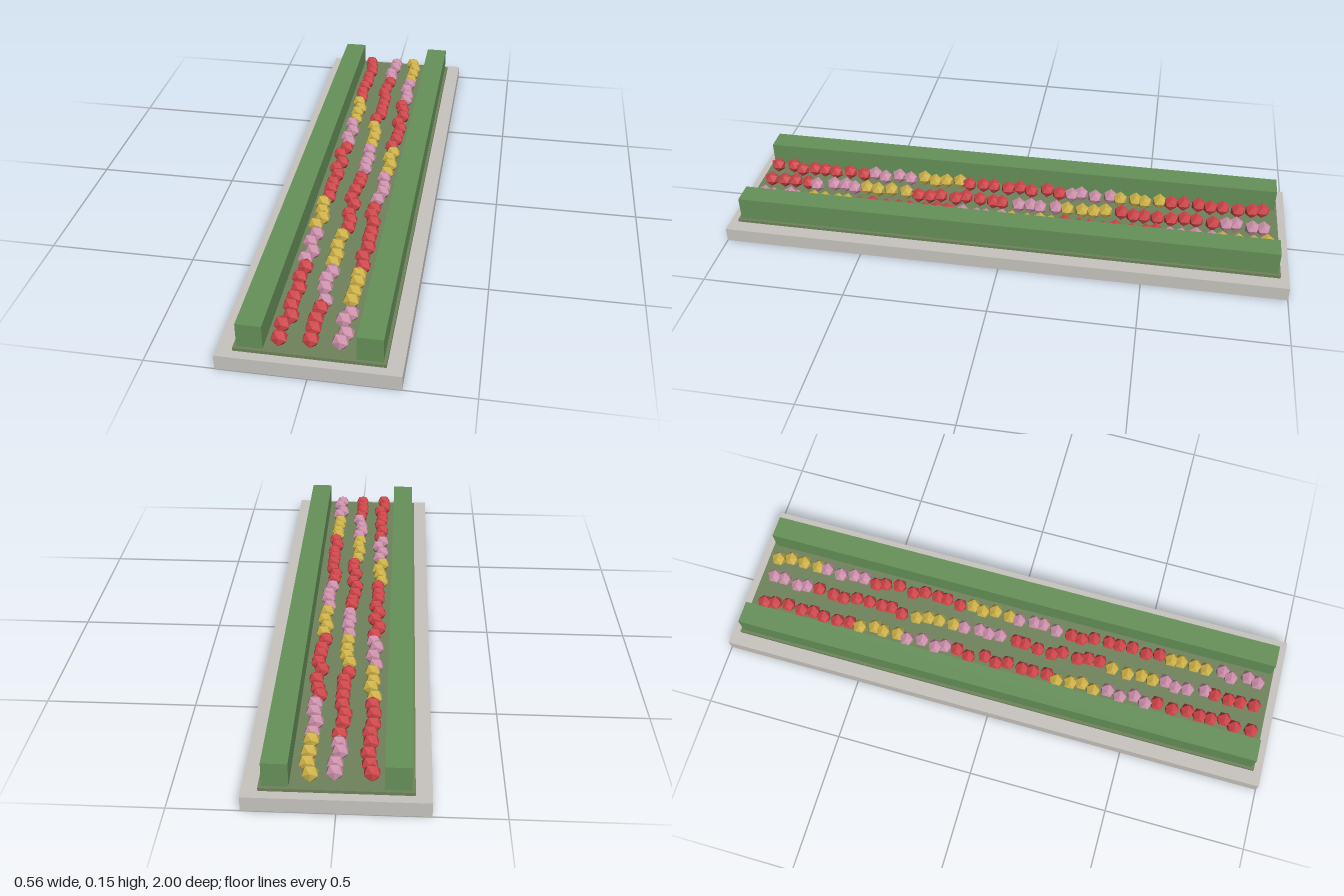
import * as THREE from 'three';

const mat = (name, color, flatShading = false) => {
  const m = new THREE.MeshStandardMaterial({ color, flatShading });
  m.name = name;
  return m;
};

// Repeatable scatter between -1 and 1
function scatter(seed) {
  let s = seed;
  return () => {
    s = (s * 16807) % 2147483647;
    return (s / 2147483647) * 2 - 1;
  };
}

// Row centre and its starting point in the colour cycle
const rows = [
  { x: -0.092, phase: 0 },
  { x: -0.001, phase: 12 },
  { x: 0.087, phase: 8 },
];

export function createModel() {
  const model = new THREE.Group();
  model.name = 'flowerBed';

  const stone = mat('stone', 0xc8c5c0);
  const soil = mat('mossySoil', 0x6f835b);
  const leaf = mat('hedgeGreen', 0x669159);
  const red = mat('redPetal', 0xcc4448, true);
  const yellow = mat('yellowPetal', 0xccb047, true);
  const pink = mat('pinkPetal', 0xcc90aa, true);

  const box = (name, material, w, h, d, x, y0) => {
    const mesh = new THREE.Mesh(new THREE.BoxGeometry(w, h, d), material);
    mesh.name = name;
    mesh.position.set(x, y0 + h / 2, 0);
    model.add(mesh);
  };

  // Stone slab, planting bed and the two hedges
  box('baseSlab', stone, 0.56, 0.051, 2, 0, 0);
  box('plantingBed', soil, 0.46, 0.011, 1.94, 0, 0.051);
  box('leftHedge', leaf, 0.08, 0.084, 1.92, 0.18, 0.062);
  box('rightHedge', leaf, 0.08, 0.084, 1.92, -0.18, 0.062);

  // Three rows of blossoms: eight red, four yellow, four pink, repeating
  const blossom = new THREE.IcosahedronGeometry(0.028, 0);
  const rand = scatter(4217);
  rows.forEach((row, r) => {
    const group = new THREE.Group();
    group.name = `flowerRow${r + 1}`;
    for (let i = 0; i < 40; i++) {
      const step = (i + row.phase) % 16;
      const flower = new THREE.Mesh(blossom, step < 8 ? red : step < 12 ? yellow : pink);
      flower.name = 'flower';
      flower.position.set(row.x + rand() * 0.011, 0.086, -0.917 + i * 0.0471 + rand() * 0.009);
      group.add(flower);
    }
    model.add(group);
  });

  return model;
}
